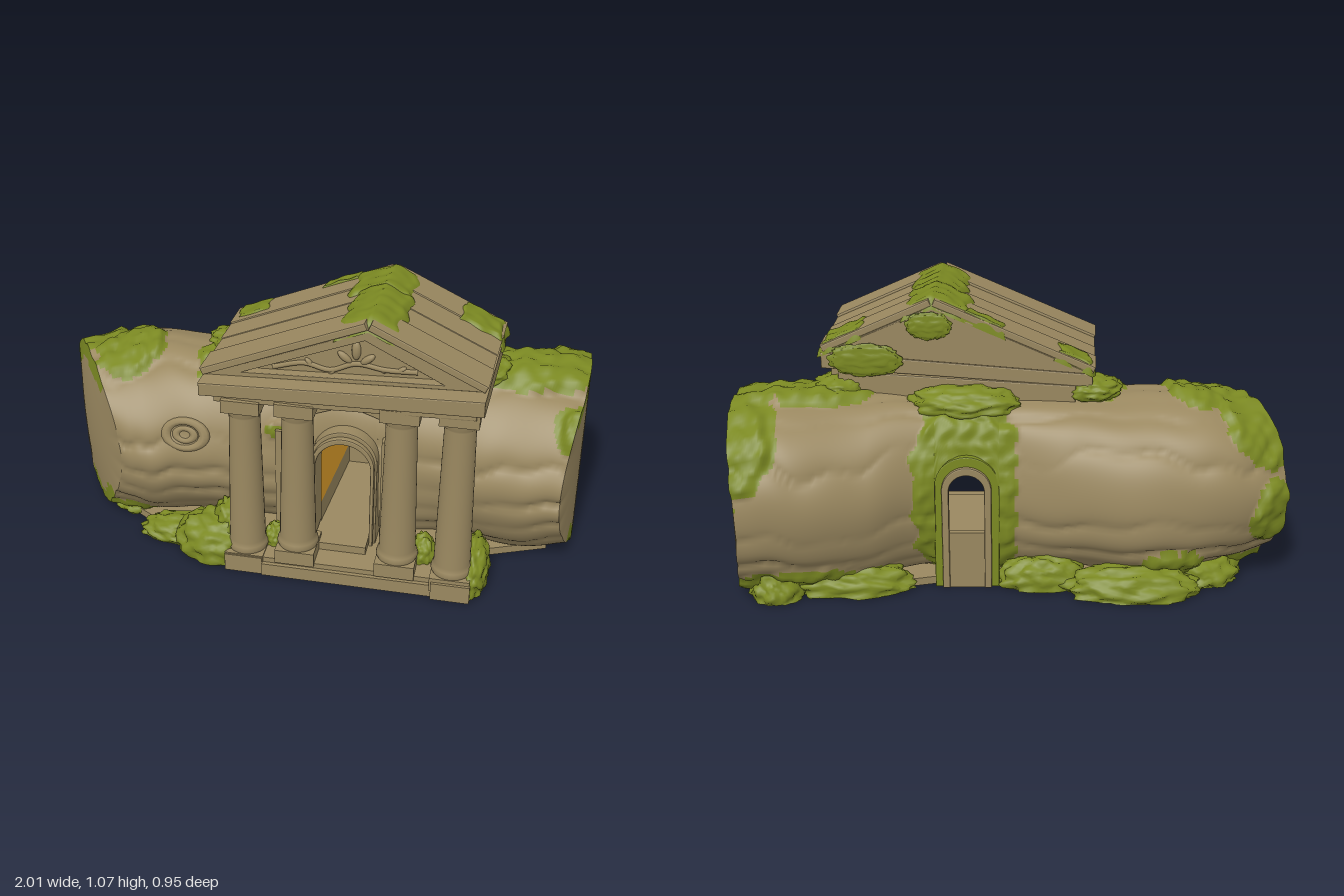
import * as THREE from 'three';
import { mergeVertices } from 'three/addons/utils/BufferGeometryUtils.js';

const mat = (name, color) => {
  const m = new THREE.MeshStandardMaterial({ color });
  m.name = name;
  return m;
};
const { sin, cos, PI, max, min, sqrt, asin, abs, sign, exp } = Math;
const noise = (x, y, z) => (sin(x * 1.7 + 2 * sin(y * 1.3)) + sin(y * 2.1 + 2 * sin(z * 1.1)) + sin(z * 1.9 + 2 * sin(x * 0.9))) / 3;

// Moss patches on the log: centre and radii
const PATCHES = [
  [-0.9, 0.6, -0.1, 0.16, 0.18, 0.18], [-0.69, 0.68, 0.03, 0.13, 0.13, 0.17], [-0.8, 0.03, 0.05, 0.22, 0.08, 0.3],
  [0.155, 0.4, -0.3, 0.19, 0.8, 0.28], [-0.95, 0.3, -0.23, 0.1, 0.14, 0.1], [-0.6, 0.1, -0.3, 0.13, 0.08, 0.15],
  [0.77, 0.71, -0.06, 0.28, 0.1, 0.13], [0.94, 0.55, -0.28, 0.14, 0.26, 0.2], [0.95, 0.6, 0.18, 0.07, 0.09, 0.12],
  [0.8, 0.03, -0.2, 0.4, 0.12, 0.26], [-0.3, 0.68, 0.05, 0.13, 0.1, 0.15], [-0.09, 0.49, 0.2, 0.06, 0.03, 0.15],
];
function mossAmount(x, y, z) {
  let best = -1;
  for (const [cx, cy, cz, rx, ry, rz] of PATCHES) best = max(best, 1 - Math.hypot((x - cx) / rx, (y - cy) / ry, (z - cz) / rz));
  return best + 0.13 * noise(x * 26, y * 26, z * 26);
}

// Log outline in plan: back and front edge at nine stations; y holds the vertical radius
const V = (x, y, z) => new THREE.Vector3(x, y, z);
const backEdge = new THREE.CatmullRomCurve3([V(-1, 0.31, -0.2), V(-0.8, 0.34, -0.32), V(-0.55, 0.35, -0.36), V(-0.25, 0.345, -0.32),
  V(0.04, 0.34, -0.25), V(0.27, 0.34, -0.25), V(0.5, 0.35, -0.36), V(0.75, 0.375, -0.44), V(0.95, 0.335, -0.48)]);
const frontEdge = new THREE.CatmullRomCurve3([V(-0.67, 0.31, 0.3), V(-0.56, 0.34, 0.31), V(-0.4, 0.35, 0.29), V(-0.2, 0.345, 0.25),
  V(0.04, 0.34, 0.22), V(0.27, 0.34, 0.22), V(0.5, 0.35, 0.23), V(0.72, 0.375, 0.26), V(0.93, 0.335, 0.265)]);

function logPoint(s, a, k = 1) {
  const b = backEdge.getPoint(s / 8), f = frontEdge.getPoint(s / 8);
  const h = f.clone().sub(b).multiplyScalar(0.5), m = b.clone().add(f).multiplyScalar(0.5);
  const ends = max(0, 1 - min(s, 8 - s));
  // The walls stand steeper around the doorway
  const c = sign(cos(a)) * abs(cos(a)) ** (1 - 0.5 * exp(-((s - 4.5) ** 2)));
  const at = d => V(m.x + h.x * c * d, max(0.01, 0.345 + f.y * sin(a) * d), m.z + h.z * c * d);
  // Bark furrows run along the log, deeper near the sawn ends and on the sides
  const furrow = abs(sin(a * 7 + 1.3 * sin(a * 3 + 1) + 0.5 * sin(s * 2.2 + a) + 0.2 * sin(s * 7)));
  const depth = (0.025 + 0.03 * cos(a) ** 2) * (0.8 + 0.5 * sin(a * 5 + s)) + 0.015 * ends;
  let d = 0.985 + depth * (sqrt(furrow) - 0.6) + 0.02 * sin(s * 3 + a * 2);
  const p = at(d);
  d += 0.065 * min(1, max(0, mossAmount(p.x, p.y, p.z) * 5)) * (1 + 0.4 * noise(p.x * 50, p.y * 50, p.z * 50));
  // Towards the middle of a sawn end the bark relief fades out
  const q = at(0.985 * k + (d - 0.985) * k ** 8);
  if (s > 6) q.x += ((s - 6) / 2) * 0.055 * (1 - (k * cos(a)) ** 2);
  // Right end swells into a shallow dome
  if (s < 0.5) {
    const swell = (1 - 2 * s) * 0.045 * (1 - (k * cos(a)) ** 2) * (1 - 0.5 * (k * sin(a)) ** 2);
    q.x -= 0.83 * swell;
    q.z += 0.55 * swell;
  }
  return q;
}

// Smooth grid surface whose faces are split between two materials
function gridSurface(rows, cols, point, isSecond) {
  const pos = [], first = [], second = [];
  for (let i = 0; i <= rows; i++) for (let j = 0; j <= cols; j++) pos.push(...point(i / rows, j / cols).toArray());
  for (let i = 0; i < rows; i++) for (let j = 0; j < cols; j++) {
    const a = i * (cols + 1) + j, b = a + cols + 1;
    (isSecond((i + 0.5) / rows, (j + 0.5) / cols) ? second : first).push(a, b, b + 1, a, b + 1, a + 1);
  }
  let g = new THREE.BufferGeometry();
  g.setAttribute('position', new THREE.Float32BufferAttribute(pos, 3));
  g.setIndex([...first, ...second]);
  g = mergeVertices(g, 1e-5);
  g.addGroup(0, first.length, 0);
  g.addGroup(first.length, second.length, 1);
  g.computeVertexNormals();
  return g;
}

export function createModel() {
  const root = new THREE.Group();
  const wood = mat('weathered wood', 0x9a8860), moss = mat('moss', 0x7b8922), glow = mat('amber interior', 0xeeab2e);
  const add = (name, geo, material = wood, parent = root) => {
    const m = new THREE.Mesh(geo, material);
    m.name = name;
    parent.add(m);
    return m;
  };
  const box = (name, x0, x1, y0, y1, z0, z1, parent = root) => {
    const m = add(name, new THREE.BoxGeometry(x1 - x0, y1 - y0, z1 - z0), wood, parent);
    m.position.set((x0 + x1) / 2, (y0 + y1) / 2, (z0 + z1) / 2);
  };
  const poly = pts => new THREE.Shape(pts.map(p => new THREE.Vector2(...p)));
  const slab = (name, shape, z0, z1, material = wood, parent = root) => {
    const e = 0.005;
    const g = new THREE.ExtrudeGeometry(shape, { depth: z1 - z0 - 2 * e, bevelSize: e, bevelThickness: e, bevelOffset: -e, bevelSegments: 2, curveSegments: 16 });
    add(name, g.translate(0, 0, z0 + e), material, parent);
  };

  // Log body: two lengths, and the bridge over the doorway
  const barkMoss = (s, a) => { const p = logPoint(s, a); return mossAmount(p.x, p.y, p.z) > 0; };
  for (const [name, s0, s1] of [['logRightLength', 0, 4], ['logLeftLength', 5, 8]]) {
    const S = u => s0 + (s1 - s0) * u;
    add(name, gridSurface(80, 130, (u, v) => logPoint(S(u), (v % 1) * 2 * PI), (u, v) => barkMoss(S(u), v * 2 * PI)), [wood, moss]);
  }
  const MID = 0.157;
  const archAngle = s => {
    const dx = logPoint(s, PI / 2).x - MID;
    return asin((0.4 + sqrt(max(0, 0.115 ** 2 - dx * dx)) - 0.345) / 0.34);
  };
  const bridgeAngle = (s, v) => archAngle(s) + v * (PI - 2 * archAngle(s));
  add('logBridge', gridSurface(26, 70, (u, v) => logPoint(4 + u, bridgeAngle(4 + u, v)), (u, v) => barkMoss(4 + u, bridgeAngle(4 + u, v))), [wood, moss]);

  // Sawn ends with a mossy rim, and inner faces beside the doorway
  const cap = (name, s, right, ranges) => add(name, gridSurface(20, 130,
    (u, v) => logPoint(s, (v % 1) * 2 * PI, right ? 1 - u : u),
    (u, v) => ranges.some(([lo, hi, inner]) => v * 2 * PI > lo && v * 2 * PI < hi && (right ? 1 - u : u) > inner + 0.04 * sin(v * 50))), [wood, moss]);
  cap('leftSawnEnd', 8, true, [[0.8, 2.95, 0.88], [3.75, 5.3, 0.84]]);
  cap('rightSawnEnd', 0, false, [[0.9, 2.6, 0.82], [4.3, 5.5, 0.86]]);
  cap('innerFaceRight', 4, true, []);
  cap('innerFaceLeft', 5, false, []);

  // Knot on the bark
  for (const [r, t] of [[0.06, 0.018], [0.028, 0.014]]) {
    const knot = add('barkKnot', new THREE.TorusGeometry(r, t, 8, 24));
    knot.position.set(-0.43, 0.46, 0.262);
    knot.scale.set(1.2, 0.85, 1);
    knot.rotation.x = -0.25;
  }

  // Flat foot under everything
  const foot = poly([[-0.82, 0.08], [-0.68, -0.15], [-0.5, -0.26], [-0.28, -0.38], [-0.2, -0.41], [0.63, -0.43], [0.68, -0.15], [0.9, -0.06],
    [0.93, 0.28], [0.5, 0.28], [0.25, 0.22], [0, 0.22], [-0.5, 0.28]]);
  add('foot', new THREE.ExtrudeGeometry(foot, { depth: 0.03, bevelEnabled: false }).rotateX(-PI / 2));

  // Doorway: tapered amber passage above a wooden dado, frames at both ends, thin sill and hood
  const archRing = (outer, inner, y0, top, innerTop) => {
    const s = new THREE.Shape();
    s.moveTo(MID + outer, y0).lineTo(MID + outer, top - outer).absarc(MID, top - outer, outer, 0, PI, false).lineTo(MID - outer, y0);
    s.lineTo(MID - inner, y0).lineTo(MID - inner, innerTop - inner).absarc(MID, innerTop - inner, inner, PI, 0, true).lineTo(MID + inner, y0);
    return s;
  };
  add('passage', gridSurface(10, 50, (u, v) => {
    const hw = 0.064 + 0.036 * u, spring = 0.392, side = min(v, 1 - v) / 0.3;
    const a = PI * min(1, max(0, (v - 0.3) / 0.4));
    const y = side < 1 ? 0.08 + (spring - 0.08) * side : spring + hw * sin(a);
    return V(MID + 0.006 * u + hw * cos(a), y, -0.24 + 0.44 * u);
  }, (u, v) => min(v, 1 - v) < 0.1), [glow, wood]);
  slab('frontDoorFrame', archRing(0.122, 0.1, 0.05, 0.535, 0.495), 0.13, 0.255);
  slab('frontDoorMoulding', archRing(0.114, 0.1, 0.05, 0.518, 0.495), 0.22, 0.275);
  slab('backDoorMossSurround', archRing(0.118, 0.086, 0, 0.525, 0.483), -0.25, -0.11, moss);
  slab('backDoorFrame', archRing(0.09, 0.064, 0, 0.487, 0.456), -0.262, -0.225);
  box('backSill', 0.088, 0.226, 0, 0.225, -0.252, -0.23);
  box('passageFloor', 0.06, 0.255, 0.01, 0.1, -0.24, 0.33);
  slab('doorHood', poly([[0, 0.55], [0.16, 0.61], [0.3, 0.56], [0.3, 0.605], [0.16, 0.652], [0, 0.595]]), 0.02, 0.198);
  for (const x of [-0.1, 0.29]) box('wallPilaster', x, x + 0.05, 0.03, 0.5, 0.1, 0.235);

  // Porch platform and columns
  box('porchFloor', -0.2, 0.62, 0, 0.07, 0.05, 0.42);
  box('porchStep', -0.11, 0.51, 0, 0.05, 0.3, 0.435);
  const column = (x, z, y0, y1) => {
    const g = new THREE.Group();
    g.name = 'column';
    const h = y1 - y0, prof = [[0.07, 0.03], [0.076, 0.045], [0.072, 0.06], [0.066, 0.075], [0.062, h * 0.4], [0.055, h - 0.06], [0.062, h - 0.05], [0.062, h - 0.035], [0.067, h - 0.025]];
    add('columnShaft', new THREE.LatheGeometry(prof.map(p => new THREE.Vector2(...p)), 28), wood, g);
    box('columnPlinth', -0.072, 0.072, -0.02, 0.035, -0.075, 0.075, g);
    box('columnCapital', -0.068, 0.068, h - 0.03, h + 0.02, -0.068, 0.068, g);
    g.position.set(x, y0, z);
    root.add(g);
  };
  column(-0.18, 0.35, 0.04, 0.695);
  column(0.01, 0.355, 0.08, 0.705);
  column(0.375, 0.36, 0.08, 0.73);
  column(0.575, 0.365, 0.05, 0.745);
  box('leftCornerPlinth', 0.51, 0.65, 0, 0.07, 0.29, 0.45);
  box('rightCornerPlinth', -0.25, -0.11, 0, 0.07, 0.27, 0.43);

  // Roof: entablature, cornice, gable and planks
  const roof = new THREE.Group();
  roof.name = 'roof';
  roof.rotation.y = -0.045;
  root.add(roof);
  const L = [-0.3, 0.785], R = [0.67, 0.85], A = [0.275, 1.03];
  slab('entablature', poly([[-0.26, 0.695], [0.65, 0.75], [0.65, 0.8], [-0.26, 0.745]]), -0.06, 0.41, wood, roof);
  slab('cornice', poly([[-0.3, 0.735], [0.68, 0.79], [0.68, 0.85], [-0.3, 0.785]]), -0.09, 0.45, wood, roof);
  slab('backWall', poly([[-0.24, 0.6], [0.62, 0.6], [0.62, 0.78], [-0.24, 0.74]]), -0.09, 0.02, wood, roof);
  slab('gable', poly([L, R, A]), -0.09, 0.35, wood, roof);
  const rake = poly([L, R, A]);
  rake.holes.push(new THREE.Path([[-0.16, 0.812], [0.265, 0.985], [0.53, 0.858]].map(p => new THREE.Vector2(...p))));
  slab('pedimentFrame', rake, 0.34, 0.385, wood, roof);
  const plank = (p, q, t, z0, z1) => {
    const dx = q[0] - p[0], dy = q[1] - p[1], n = t / Math.hypot(dx, dy);
    slab('roofPlank', poly([p, q, [q[0] - dy * n, q[1] + dx * n], [p[0] - dy * n, p[1] + dx * n]]), z0, z1, wood, roof);
  };
  for (const [z0, z1, t] of [[-0.09, 0.04, 0.028], [0.035, 0.155, 0.022], [0.15, 0.27, 0.018], [0.265, 0.395, 0.028]]) {
    plank(L, A, t, z0, z1);
    plank(A, R, t, z0, z1);
  }

  // Pediment relief: a curling stem with leaves
  const relief = new THREE.Group();
  relief.name = 'pedimentRelief';
  relief.position.z = 0.352;
  roof.add(relief);
  const stem = new THREE.CatmullRomCurve3([V(-0.06, 0.83, 0), V(0.05, 0.86, 0), V(0.14, 0.845, 0), V(0.23, 0.88, 0), V(0.33, 0.87, 0), V(0.44, 0.875, 0)]);
  add('pedimentStem', new THREE.TubeGeometry(stem, 40, 0.009, 6), wood, relief);
  for (const [x, y, r, s] of [[0.23, 0.9, 0, 1.2], [0.21, 0.885, 0.9, 1], [0.25, 0.885, -0.9, 1], [0.08, 0.85, 0.7, 0.7], [0.37, 0.865, -0.9, 0.7], [0.16, 0.85, 2.3, 0.6], [0.31, 0.875, -2.3, 0.5]]) {
    const leaf = add('pedimentLeaf', new THREE.SphereGeometry(0.03, 10, 8).scale(0.45, 1, 0.4).translate(0, 0.025, 0), wood, relief);
    leaf.position.set(x, y, 0);
    leaf.rotation.z = r;
    leaf.scale.setScalar(s);
  }

  // Moss draped over the roof
  const roofY = x => (x < A[0] ? L[1] + (x - L[0]) * (A[1] - L[1]) / (A[0] - L[0]) : A[1] + (x - A[0]) * (R[1] - A[1]) / (R[0] - A[0]));
  for (const [x0, x1, z0, z1] of [[0.13, 0.39, -0.095, 0.12], [0.16, 0.39, 0.06, 0.385], [0.52, 0.69, -0.095, 0.06], [-0.31, -0.17, -0.095, 0.02], [0, 0.16, -0.095, -0.04]]) {
    add('roofMoss', gridSurface(36, 24, (u, v) => {
      const e = min(1, 8 * min(u, 1 - u, v, 1 - v));
      const z = z1 + (z0 - z1) * v, x = x0 + (x1 - x0) * u + 0.015 * noise(z * 30, x0 * 9, 1);
      return V(x, roofY(x) - 0.01 + sqrt(e) * (0.048 + 0.005 * noise(x * 50, 2, z * 50)), z + 0.008 * noise(x * 40, 3, 1));
    }, () => true), [wood, moss], roof);
  }

  // Moss mounds around the foot, on the rear gable and where roof meets log
  const mounds = [
    [-0.3, 0.04, 0.3, 0.16, 0.12, 0.12], [-0.48, 0.02, 0.25, 0.14, 0.06, 0.08], [-0.25, 0.11, 0.27, 0.08, 0.1, 0.09],
    [0.65, 0.05, 0.29, 0.055, 0.11, 0.14], [0.46, 0.08, 0.29, 0.05, 0.08, 0.06], [-0.09, 0.08, 0.3, 0.04, 0.06, 0.05],
    [0.6, 0.02, -0.25, 0.24, 0.09, 0.1], [0.85, 0.02, -0.29, 0.1, 0.11, 0.11], [-0.12, 0.02, -0.22, 0.17, 0.1, 0.08],
    [-0.45, 0.02, -0.29, 0.24, 0.09, 0.1], [-0.7, 0.02, -0.12, 0.16, 0.09, 0.15], [-0.68, 0.02, 0.06, 0.12, 0.06, 0.11],
    [0.62, 0.7, -0.02, 0.1, 0.06, 0.1], [-0.29, 0.71, -0.04, 0.11, 0.05, 0.08], [0.16, 0.675, -0.09, 0.2, 0.065, 0.1],
    [0.52, 0.83, -0.08, 0.13, 0.06, 0.014], [0.29, 0.96, -0.085, 0.08, 0.05, 0.012],
  ];
  for (const [x, y, z, rx, ry, rz] of mounds) {
    let g = new THREE.IcosahedronGeometry(1, 10);
    g.deleteAttribute('normal');
    g.deleteAttribute('uv');
    g = mergeVertices(g, 1e-4);
    const p = g.attributes.position;
    for (let i = 0; i < p.count; i++) {
      const a = p.getX(i), b = p.getY(i), c = p.getZ(i);
      const k = 1 + 0.12 * noise(a * 6 + x * 30, b * 6, c * 6 + z * 30) + 0.05 * noise(a * 15, b * 15 + x * 9, c * 15);
      p.setXYZ(i, x + a * rx * k, max(0.003, y + b * ry * k), z + c * rz * k);
    }
    g.computeVertexNormals();
    add('mossMound', g, moss);
  }
  return root;
}
